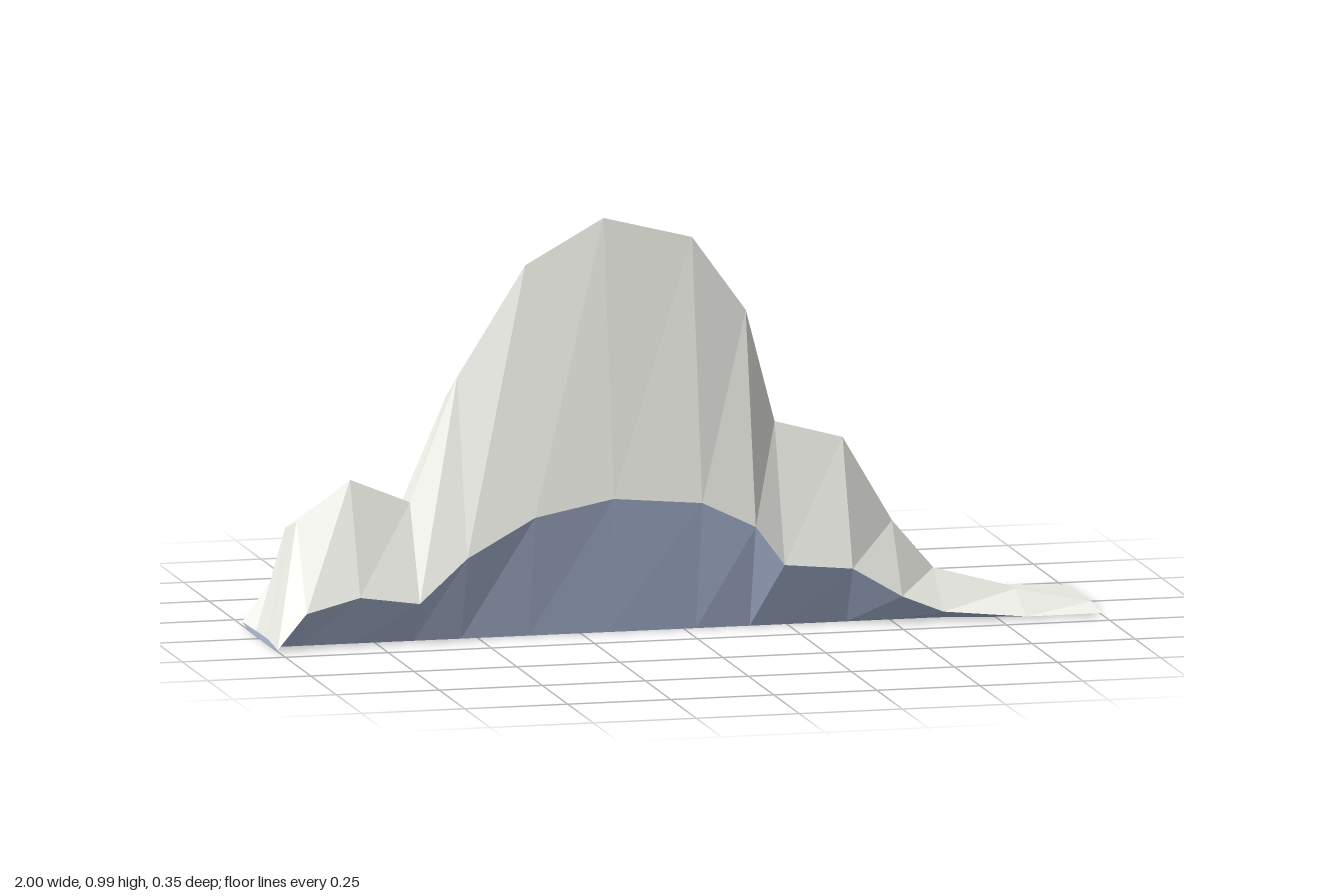
import * as THREE from 'three';

// Ridge silhouette: x position and crest height of each cross-section
const PROFILE = [
  [-1, 0.013], [-0.93, 0.29], [-0.8, 0.385], [-0.655, 0.325], [-0.54, 0.62],
  [-0.375, 0.88], [-0.185, 0.985], [0.03, 0.93], [0.16, 0.75], [0.23, 0.48],
  [0.395, 0.435], [0.515, 0.23], [0.615, 0.113], [0.815, 0.053], [1, 0.014],
];

// Cross-section points: z position, fraction of the crest height,
// amount the point sits below that fraction, and lowest height allowed
const FOOT_FRONT = [0.115, 0, 0, 0];
const RIM_FRONT = [0.176, 0.35, 0.015, 0.004];
const CREST_FRONT = [0.076, 1, 0, 0];
const CREST_BACK = [-0.035, 0.9, 0.004, 0.012];
const RIM_BACK = [-0.176, 0.407, 0.016, 0.009];
const FOOT_BACK = [-0.115, 0, 0, 0];

const point = ([x, h], [z, k, drop, low]) => [x, Math.max(h * k - drop, low), z];

// Faceted strip between cross-section rows, swept along the profile
function strip(rows) {
  const out = [];
  for (let j = 0; j < rows.length - 1; j++) {
    for (let i = 0; i < PROFILE.length - 1; i++) {
      const a = point(PROFILE[i], rows[j]);
      const b = point(PROFILE[i + 1], rows[j]);
      const c = point(PROFILE[i + 1], rows[j + 1]);
      const d = point(PROFILE[i], rows[j + 1]);
      out.push(...a, ...b, ...c, ...a, ...c, ...d);
    }
  }
  return out;
}

// Fan that closes one end of the ridge
function cap(station, rows) {
  const p = rows.map((row) => point(station, row));
  const out = [];
  for (let i = 1; i < p.length - 1; i++) out.push(...p[0], ...p[i], ...p[i + 1]);
  return out;
}

function facetMesh(name, positions, color) {
  const geometry = new THREE.BufferGeometry();
  geometry.setAttribute('position', new THREE.Float32BufferAttribute(positions, 3));
  geometry.computeVertexNormals();
  const material = new THREE.MeshStandardMaterial({ color, flatShading: true, side: THREE.DoubleSide });
  const mesh = new THREE.Mesh(geometry, material);
  mesh.name = name;
  return mesh;
}

export function createModel() {
  const group = new THREE.Group();
  group.name = 'mountainRidge';

  // Upper slopes: front face, sloping crest and back face
  group.add(facetMesh('slopes', strip([RIM_FRONT, CREST_FRONT, CREST_BACK, RIM_BACK]), 0xf5f5ee));

  // Undercut base: leaning walls, flat underside and thin end caps
  const section = [FOOT_FRONT, RIM_FRONT, CREST_FRONT, CREST_BACK, RIM_BACK, FOOT_BACK];
  const base = [
    ...strip([FOOT_FRONT, RIM_FRONT]),
    ...strip([RIM_BACK, FOOT_BACK, FOOT_FRONT]),
    ...cap(PROFILE[0], section),
    ...cap(PROFILE[PROFILE.length - 1], [...section].reverse()),
  ];
  group.add(facetMesh('base', base, 0xb5c3e2));

  return group;
}
